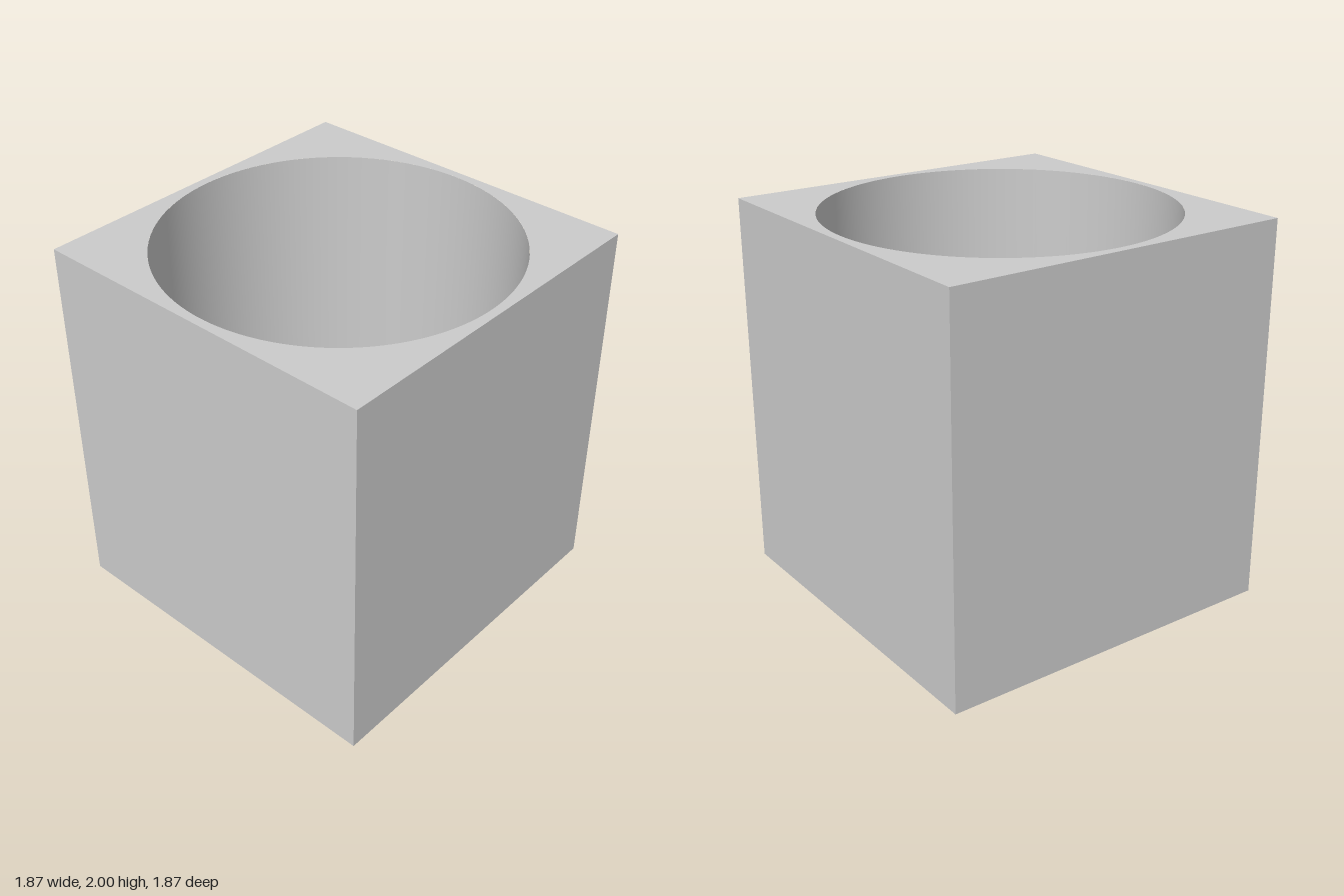
import * as THREE from 'three';

const HALF = 0.933, HEIGHT = 2, RADIUS = 0.887, FLOOR = 0.06, SEGMENTS = 96;

export function createModel() {
  const group = new THREE.Group();
  group.name = 'squareHolder';
  const material = new THREE.MeshStandardMaterial({ color: 0xcccccc });
  const add = (name, geometry, y) => {
    const mesh = new THREE.Mesh(geometry, material);
    mesh.name = name;
    mesh.position.y = y;
    group.add(mesh);
  };

  // Outer walls and underside: a box without its top face (third of six)
  const shell = new THREE.BoxGeometry(HALF * 2, HEIGHT, HALF * 2);
  const index = Array.from(shell.index.array);
  index.splice(12, 6);
  shell.setIndex(index);
  shell.clearGroups();
  add('outerShell', shell, HEIGHT / 2);

  // Square rim around the round opening
  const rim = new THREE.Shape([[-1, -1], [1, -1], [1, 1], [-1, 1]]
    .map(([x, y]) => new THREE.Vector2(x * HALF, y * HALF)));
  rim.holes.push(new THREE.Path().absarc(0, 0, RADIUS, 0, Math.PI * 2, true));
  add('rim', new THREE.ShapeGeometry(rim, SEGMENTS).rotateX(-Math.PI / 2), HEIGHT);

  // Bore wall, profiled downwards so it faces inwards
  const bore = [new THREE.Vector2(RADIUS, HEIGHT), new THREE.Vector2(RADIUS, FLOOR)];
  add('boreWall', new THREE.LatheGeometry(bore, SEGMENTS), 0);

  // Flat floor of the bore
  add('boreFloor', new THREE.CircleGeometry(RADIUS, SEGMENTS).rotateX(-Math.PI / 2), FLOOR);

  return group;
}
